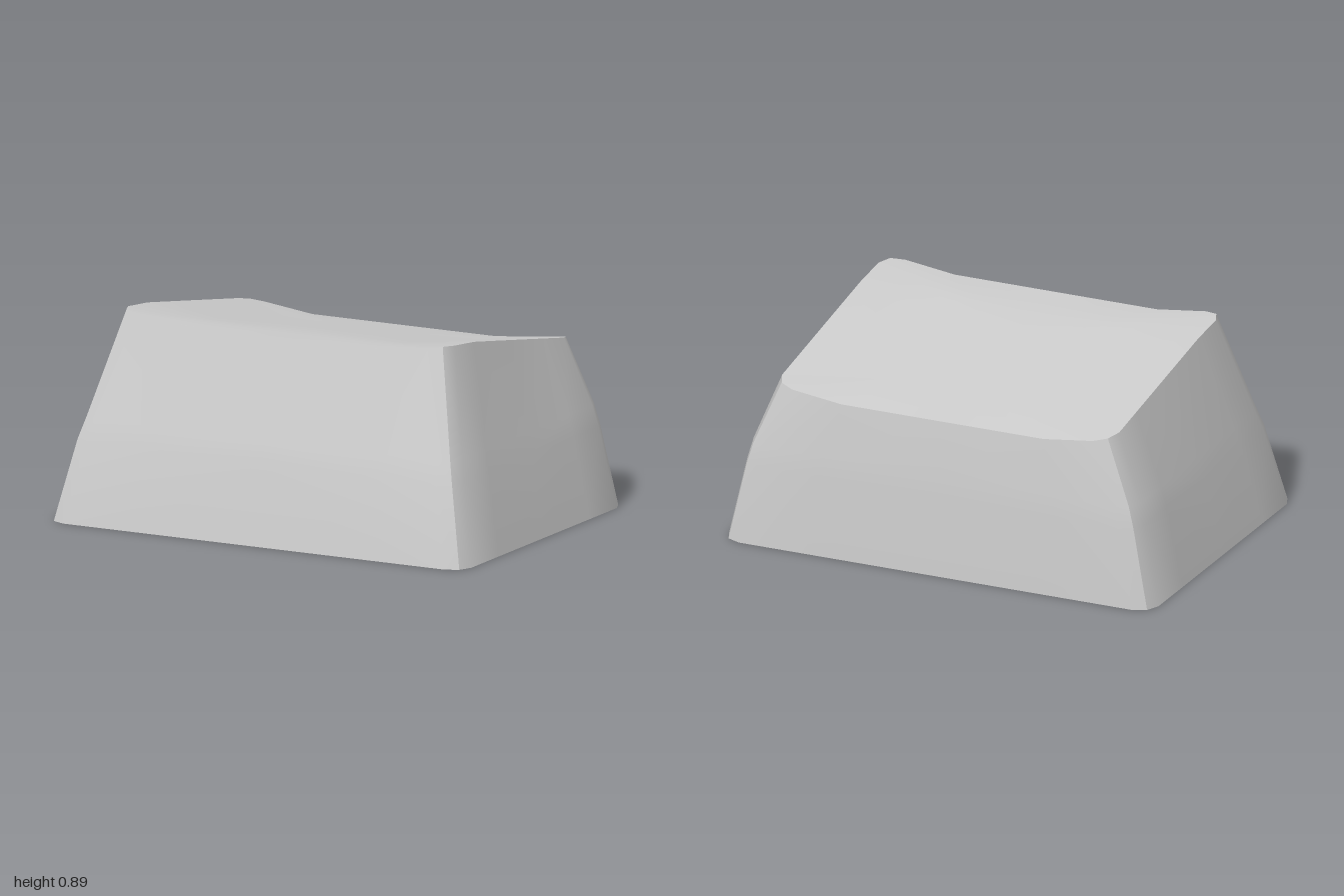
import * as THREE from 'three';
import { toCreasedNormals } from 'three/addons/utils/BufferGeometryUtils.js';

const material = new THREE.MeshStandardMaterial({ color: 0xcccccc });

// Height of the sloped, dished top at a point
function topHeight(x, z) {
  const slope = z < 0.22 ? 0.832 + 0.178 * z : Math.min(0.871 + 0.105 * (z - 0.22), 0.893);
  const edge = THREE.MathUtils.clamp((Math.abs(x) - 0.47) / 0.29, 0, 1);
  return slope - 0.037 * (1 - edge);
}

// Chamfered rectangle, counter-clockwise from above; y is a number or a function of x, z
function ring(halfX, front, back, y, corner = 0.085, scale = 1) {
  const mid = (front + back) / 2, halfZ = (front - back) / 2;
  const nip = corner * 0.3;
  const quarter = [
    [halfX, 0], [halfX, 0.55 * halfZ], [halfX, halfZ - corner],
    [halfX - nip, halfZ - nip], [halfX - corner, halfZ], [0.6 * halfX, halfZ],
  ];
  const flip = ([x, z]) => [-x, z];
  const half = [...quarter, [0, halfZ], ...quarter.slice(1).reverse().map(flip)];
  const loop = [...half, ...half.map(([x, z]) => [-x, -z])];
  return loop.map(([x, z]) => {
    const px = x * scale, pz = mid - z * scale;
    return [px, typeof y === 'function' ? y(px, pz) : y, pz];
  });
}

// Skin a list of rings that starts and ends in a point; diagonals mirror in each quarter
function loft(rings) {
  const positions = [];
  const n = rings[0].length;
  for (let i = 0; i < rings.length - 1; i++) {
    const a = rings[i], b = rings[i + 1];
    for (let j = 0; j < n; j++) {
      const k = (j + 1) % n;
      const mirrored = Math.floor(j / 6) % 2 === 1;
      if (i === 0) positions.push(...b[j], ...b[k], ...a[k]);
      else if (i === rings.length - 2) positions.push(...b[j], ...a[k], ...a[j]);
      else if (mirrored) positions.push(...b[j], ...b[k], ...a[j], ...b[k], ...a[k], ...a[j]);
      else positions.push(...b[j], ...b[k], ...a[k], ...b[j], ...a[k], ...a[j]);
    }
  }
  const geometry = new THREE.BufferGeometry();
  geometry.setAttribute('position', new THREE.Float32BufferAttribute(positions, 3));
  return toCreasedNormals(geometry, 0.56);
}

export function createModel() {
  const group = new THREE.Group();
  const add = (name, geometry, x = 0, y = 0, z = 0) => {
    const mesh = new THREE.Mesh(geometry, material);
    mesh.name = name;
    mesh.position.set(x, y, z);
    group.add(mesh);
  };

  // Hollow cap: dished top, flared walls, bottom rim, straight cavity and ceiling
  const ceiling = (x, z) => 0.62 + 0.09 * z;
  const top = (scale) => ring(0.785, 0.48, -0.66, topHeight, 0.085, scale);
  const roof = (scale) => ring(0.71, 0.45, -0.595, ceiling, 0.06, scale);
  add('capShell', loft([
    top(0), top(0.3), top(0.6), top(0.8), top(1),
    ring(0.9, 0.626, -0.697, 0.44),
    ring(0.925, 0.657, -0.706, 0.35),
    ring(1, 0.73, -0.73, 0),
    ring(0.905, 0.635, -0.635, 0, 0.06),
    roof(1), roof(0),
  ]));

  // Round stem with a cross-shaped socket
  const stemShape = new THREE.Shape().absarc(0, 0, 0.226, 0, Math.PI * 2);
  const arm = 0.15, w = 0.045;
  const cross = [
    [arm, -w], [arm, w], [w, w], [w, arm], [-w, arm], [-w, w],
    [-arm, w], [-arm, -w], [-w, -w], [-w, -arm], [w, -arm], [w, -w],
  ];
  stemShape.holes.push(new THREE.Path(cross.map(([x, y]) => new THREE.Vector2(x, y))));
  const stem = new THREE.ExtrudeGeometry(stemShape, { depth: 0.52, bevelEnabled: false, curveSegments: 32 });
  stem.rotateX(-Math.PI / 2);
  add('stem', toCreasedNormals(stem, 0.5), 0, 0.165, -0.035);

  // Ribs from the stem to the walls
  for (const side of [-1, 1]) {
    add('sideRib', new THREE.BoxGeometry(0.59, 0.24, 0.09), side * 0.485, 0.58, -0.035);
  }
  add('frontRib', new THREE.BoxGeometry(0.09, 0.26, 0.33), 0, 0.58, 0.335);
  add('backRib', new THREE.BoxGeometry(0.09, 0.18, 0.41), 0, 0.55, -0.415);

  return group;
}
